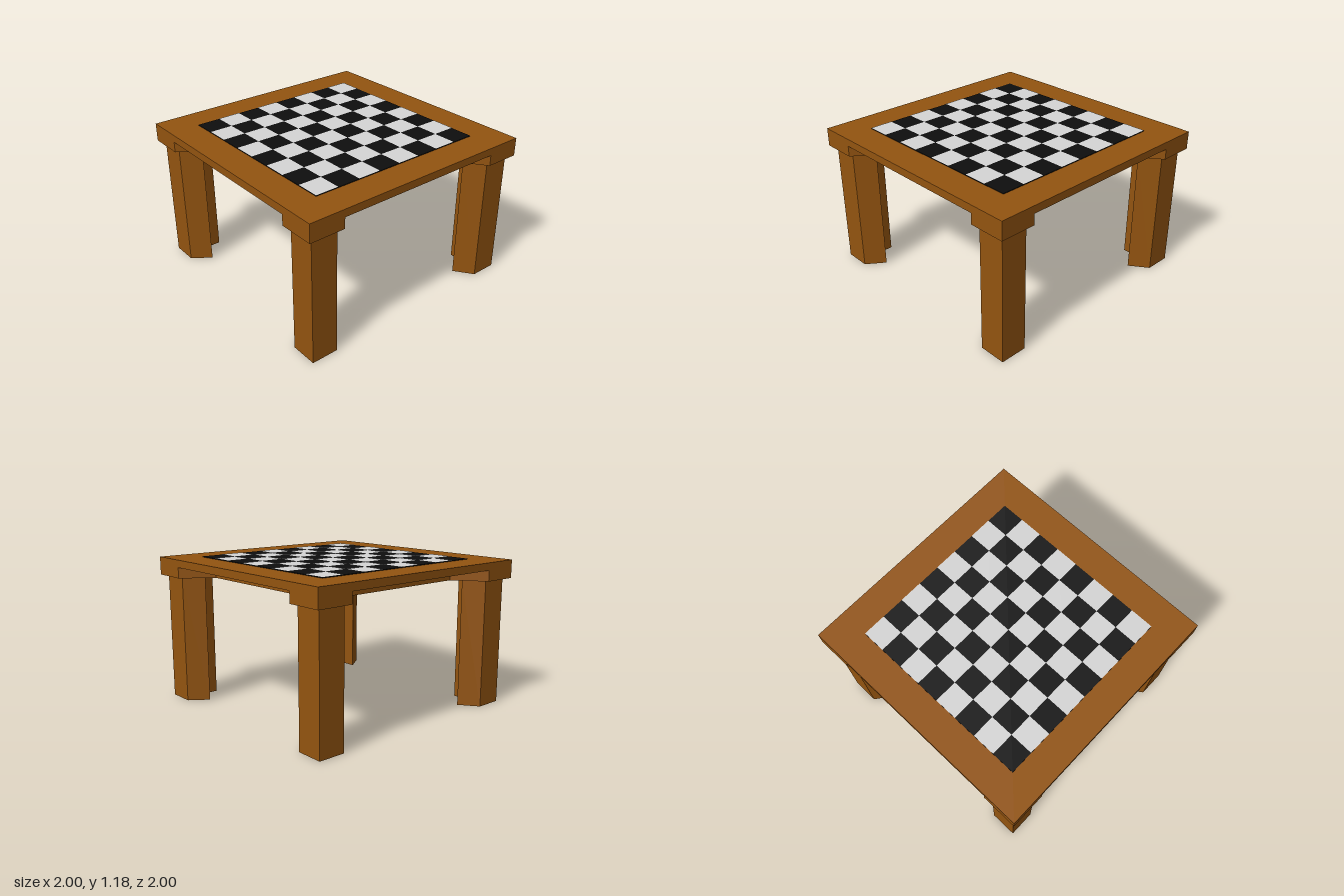
import * as THREE from 'three';
import { mergeGeometries } from 'three/addons/utils/BufferGeometryUtils.js';

const wood = new THREE.MeshStandardMaterial({ color: 0x935410 });
wood.name = 'brown wood';
const dark = new THREE.MeshStandardMaterial({ color: 0x0e0e0e });
dark.name = 'black squares';
const light = new THREE.MeshStandardMaterial({ color: 0xd6d6d6 });
light.name = 'light squares';

// Upright prism from a plan outline of [x, z] points
function prism(points, y0, y1) {
  const shape = new THREE.Shape(points.map(([x, z]) => new THREE.Vector2(x, -z)));
  const g = new THREE.ExtrudeGeometry(shape, { depth: y1 - y0, bevelEnabled: false });
  g.rotateX(-Math.PI / 2);
  g.translate(0, y0, 0);
  return g;
}

function add(parent, name, geometry, material) {
  const mesh = new THREE.Mesh(geometry, material);
  mesh.name = name;
  parent.add(mesh);
  return mesh;
}

export function createModel() {
  const table = new THREE.Group();
  table.name = 'chessTable';

  const UNDER = 1.026, STEP = 1.112, TOP = 1.172;

  // Flat table top
  const slab = new THREE.BoxGeometry(2, TOP - STEP, 2);
  slab.translate(0, (TOP + STEP) / 2, 0);
  add(table, 'tableTop', slab, wood);

  // Lower frame: full at the corners, with a splayed recess along each side
  const outline = [];
  for (let i = 0; i < 4; i++) {
    const c = Math.round(Math.cos(i * Math.PI / 2)), s = Math.round(Math.sin(i * Math.PI / 2));
    for (const [x, z] of [[1, 1], [0.712, 1], [0.542, 0.76], [-0.542, 0.76], [-0.712, 1]]) {
      outline.push([x * c - z * s, x * s + z * c]);
    }
  }
  add(table, 'underFrame', prism(outline, UNDER, STEP), wood);

  // L-shaped legs with splayed ends
  const o = 0.953, plan = [
    [0, 0], [0.215, 0], [0.32, 0.148], [0.15, 0.15], [0.148, 0.32], [0, 0.215],
  ].map(([u, v]) => [o - u, o - v]);
  const legGeometry = prism(plan, 0, UNDER);
  ['frontLeftLeg', 'backLeftLeg', 'backRightLeg', 'frontRightLeg'].forEach((name, i) => {
    add(table, name, legGeometry, wood).rotation.y = i * Math.PI / 2;
  });

  // Playing board: dark plate with light squares laid on it
  const half = 0.753, cell = half / 4;
  const plate = new THREE.BoxGeometry(half * 2, 0.005, half * 2);
  plate.translate(0, TOP + 0.0025, 0);
  add(table, 'boardPlate', plate, dark);

  const squares = [];
  for (let r = 0; r < 8; r++) {
    for (let c = r % 2; c < 8; c += 2) {
      const q = new THREE.PlaneGeometry(cell, cell);
      q.rotateX(-Math.PI / 2);
      q.translate(-half + (c + 0.5) * cell, TOP + 0.0075, -half + (r + 0.5) * cell);
      squares.push(q);
    }
  }
  add(table, 'lightSquares', mergeGeometries(squares), light);

  return table;
}
